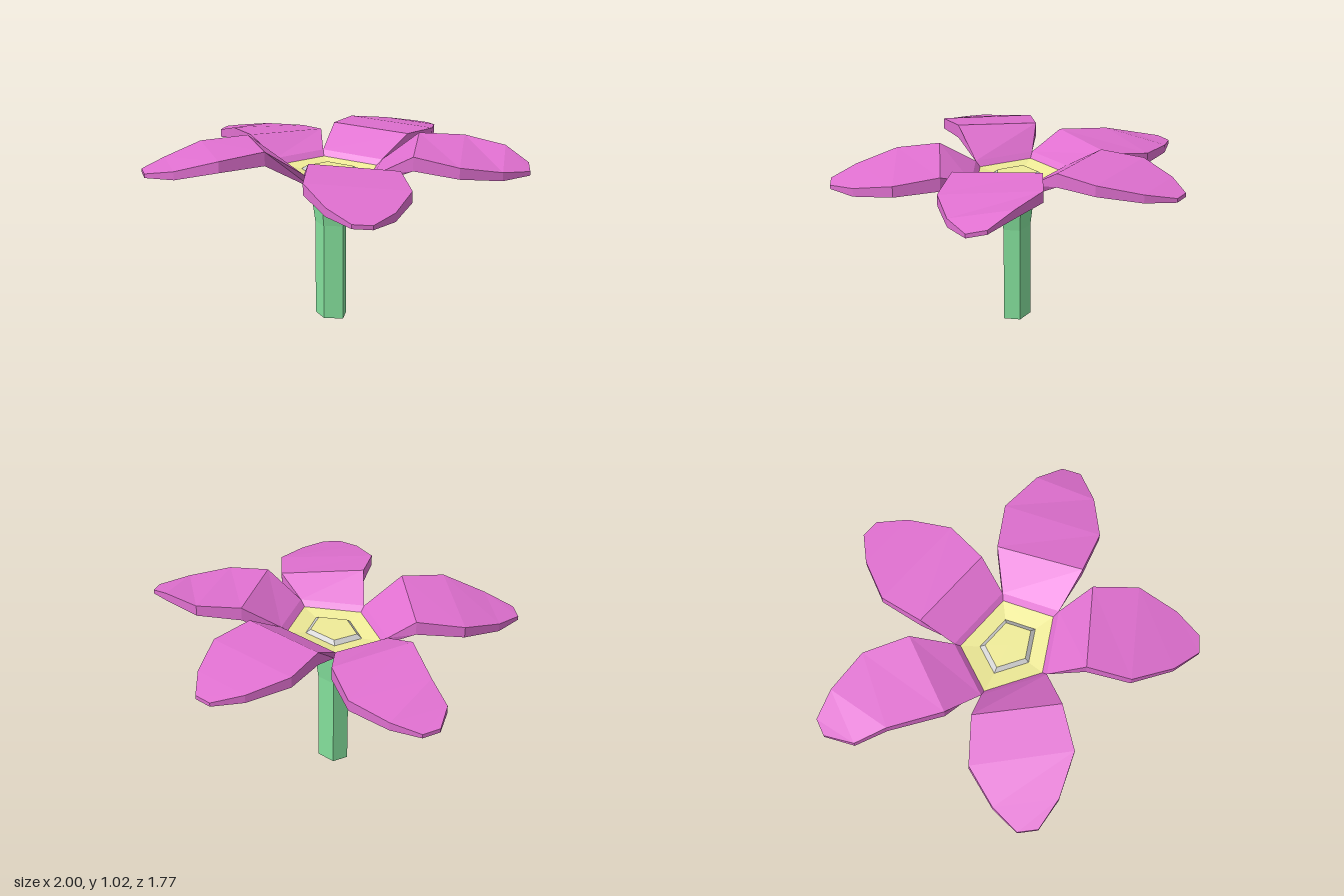
import * as THREE from 'three';

const material = (color) => new THREE.MeshStandardMaterial({ color, flatShading: true, side: THREE.DoubleSide });
const purple = material(0xe070d0), yellow = material(0xf0ec98), green = material(0x84e09c), grey = material(0xcccccc);

const SQUASH = 0.8, CENTRE_Z = 0.1; // the five-sided core is flattened front to back

// Five-sided turned part, profile given as [radius, height]
function pentagon(name, profile, mat) {
  const geometry = new THREE.LatheGeometry(profile.map(([r, y]) => new THREE.Vector2(r, y)), 5);
  geometry.scale(1, 1, SQUASH);
  geometry.translate(0, 0, CENTRE_Z);
  const mesh = new THREE.Mesh(geometry, mat);
  mesh.name = name;
  return mesh;
}

// Corner k of a core pentagon, counted from the front towards +x
function corner(k, r, y) {
  const a = (k * Math.PI * 2) / 5;
  return [r * Math.sin(a), y, CENTRE_Z + r * SQUASH * Math.cos(a)];
}

// Petal lofted from four-cornered sections; rows hold the two top edge points
const THICKNESS = [0.075, 0.06, 0.045, 0.022];
function petal(name, k, rows) {
  const rings = [[
    corner(k + 1, 0.326, 0.875), corner(k, 0.326, 0.875),
    corner(k, 0.205, 0.77), corner(k + 1, 0.205, 0.77),
  ]];
  rows.forEach(([a, b], i) => {
    const drop = ([x, y, z]) => [x, y - THICKNESS[i], z];
    rings.push([a, b, drop(b), drop(a)]);
  });
  const index = [];
  for (let i = 0; i < rings.length - 1; i++) {
    for (let j = 0; j < 4; j++) {
      const p = i * 4 + j, q = i * 4 + ((j + 1) % 4);
      index.push(p, q, q + 4, p, q + 4, p + 4);
    }
  }
  const t = (rings.length - 1) * 4;
  index.push(t, t + 1, t + 2, t, t + 2, t + 3); // blunt tip
  const geometry = new THREE.BufferGeometry();
  geometry.setAttribute('position', new THREE.Float32BufferAttribute(rings.flat(2), 3));
  geometry.setIndex(index);
  const flat = geometry.toNonIndexed();
  flat.computeVertexNormals();
  const mesh = new THREE.Mesh(flat, purple);
  mesh.name = name;
  return mesh;
}

export function createModel() {
  const flower = new THREE.Group();
  flower.name = 'flower';

  // Stem with a flared top, cup below the petals, and the sunken middle
  flower.add(
    pentagon('stem', [[0, 0], [0.095, 0], [0.095, 0.54], [0.124, 0.74], [0, 0.74]], green),
    pentagon('cup', [[0.124, 0.738], [0.205, 0.77]], purple),
    pentagon('innerRim', [[0.326, 0.875], [0.29, 0.845]], purple),
    pentagon('flowerCentre', [[0.29, 0.845], [0.173, 0.83]], yellow),
    pentagon('centreRing', [[0.173, 0.83], [0.143, 0.85]], grey),
    pentagon('centreButton', [[0.143, 0.85], [0, 0.85]], yellow),
  );

  // Five petals, each tilted a little differently
  flower.add(
    petal('frontLeftPetal', 0, [
      [[0.51, 0.945, 0.24], [0.13, 0.99, 0.51]],
      [[0.68, 0.915, 0.42], [0.24, 0.96, 0.72]],
      [[0.72, 0.875, 0.65], [0.45, 0.905, 0.84]],
      [[0.70, 0.857, 0.82], [0.62, 0.865, 0.88]],
    ]),
    petal('leftPetal', 1, [
      [[0.33, 1.01, -0.27], [0.53, 1.0, 0.15]],
      [[0.54, 1.0, -0.40], [0.76, 0.96, 0.08]],
      [[0.79, 0.98, -0.39], [0.92, 0.92, -0.09]],
      [[0.95, 0.92, -0.34], [1.0, 0.90, -0.25]],
    ]),
    petal('backPetal', 2, [
      [[-0.24, 0.985, -0.30], [0.24, 0.985, -0.30]],
      [[-0.275, 0.97, -0.54], [0.265, 0.97, -0.54]],
      [[-0.17, 0.93, -0.76], [0.16, 0.93, -0.76]],
      [[-0.055, 0.90, -0.89], [0.045, 0.90, -0.89]],
    ]),
    petal('rightPetal', 3, [
      [[-0.52, 0.965, 0.12], [-0.33, 0.935, -0.30]],
      [[-0.77, 0.935, -0.05], [-0.55, 0.90, -0.43]],
      [[-0.93, 0.885, -0.13], [-0.80, 0.88, -0.42]],
      [[-1.0, 0.865, -0.28], [-0.96, 0.86, -0.37]],
    ]),
    petal('frontRightPetal', 4, [
      [[-0.11, 1.025, 0.55], [-0.45, 1.0, 0.24]],
      [[-0.25, 1.0, 0.75], [-0.65, 0.975, 0.40]],
      [[-0.47, 0.935, 0.84], [-0.72, 0.925, 0.62]],
      [[-0.65, 0.90, 0.86], [-0.73, 0.90, 0.79]],
    ]),
  );
  return flower;
}
